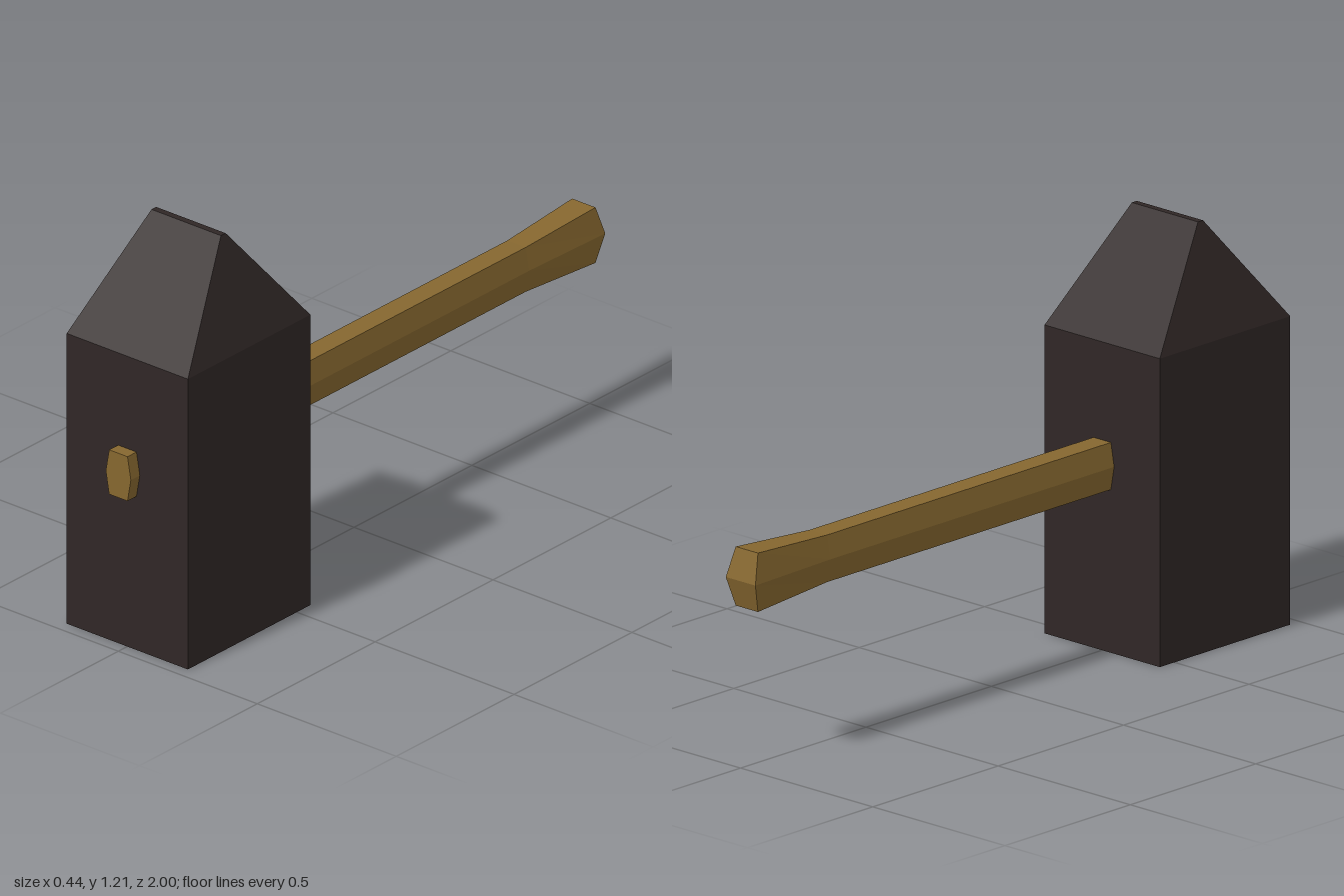
import * as THREE from 'three';

// Joins rings of corners (counter-clockwise seen from the last ring) into a closed, flat-faced solid.
function loft(rings) {
  const pos = [];
  const tri = (a, b, c) => pos.push(...a, ...b, ...c);
  const n = rings[0].length;
  const first = rings[0], last = rings[rings.length - 1];
  for (let k = 0; k < rings.length - 1; k++) {
    for (let i = 0; i < n; i++) {
      const j = (i + 1) % n;
      tri(rings[k][i], rings[k][j], rings[k + 1][j]);
      tri(rings[k][i], rings[k + 1][j], rings[k + 1][i]);
    }
  }
  for (let i = 1; i < n - 1; i++) {
    tri(last[0], last[i], last[i + 1]);
    tri(first[0], first[i + 1], first[i]);
  }
  const geo = new THREE.BufferGeometry();
  geo.setAttribute('position', new THREE.Float32BufferAttribute(pos, 3));
  geo.computeVertexNormals();
  return geo;
}

// Rectangle at height y, centred on the head's axis.
const HEAD_Z = 0.702;
const headRing = (y, hx, hz) =>
  [[1, 1], [1, -1], [-1, -1], [-1, 1]].map(([sx, sz]) => [sx * hx, y, HEAD_Z + sz * hz]);

// Hexagon across the handle; the side corners may sit at a different z.
const HANDLE_Y = 0.539;
const handleRing = (z, sideZ, hMid, hFlat, hy) => [
  [hMid, HANDLE_Y, sideZ],
  [hFlat, HANDLE_Y + hy, z],
  [-hFlat, HANDLE_Y + hy, z],
  [-hMid, HANDLE_Y, sideZ],
  [-hFlat, HANDLE_Y - hy, z],
  [hFlat, HANDLE_Y - hy, z],
];

export function createModel() {
  const iron = new THREE.MeshStandardMaterial({ color: 0x302726 });
  iron.name = 'darkIron';
  const wood = new THREE.MeshStandardMaterial({ color: 0x86672f });
  wood.name = 'wood';

  const group = new THREE.Group();
  group.name = 'sledgehammer';

  // Block head tapering to a narrow peen
  const head = new THREE.Mesh(loft([
    headRing(0, 0.218, 0.26),
    headRing(0.89, 0.218, 0.26),
    headRing(1.205, 0.125, 0.01),
  ]), iron);
  head.name = 'head';

  // Handle running through the head, flared at the grip with a pointed butt
  const handle = new THREE.Mesh(loft([
    handleRing(-0.975, -1, 0.056, 0.042, 0.085),
    handleRing(-0.69, -0.69, 0.045, 0.033, 0.068),
    handleRing(1, 1, 0.045, 0.033, 0.068),
  ]), wood);
  handle.name = 'handle';

  group.add(head, handle);
  return group;
}
